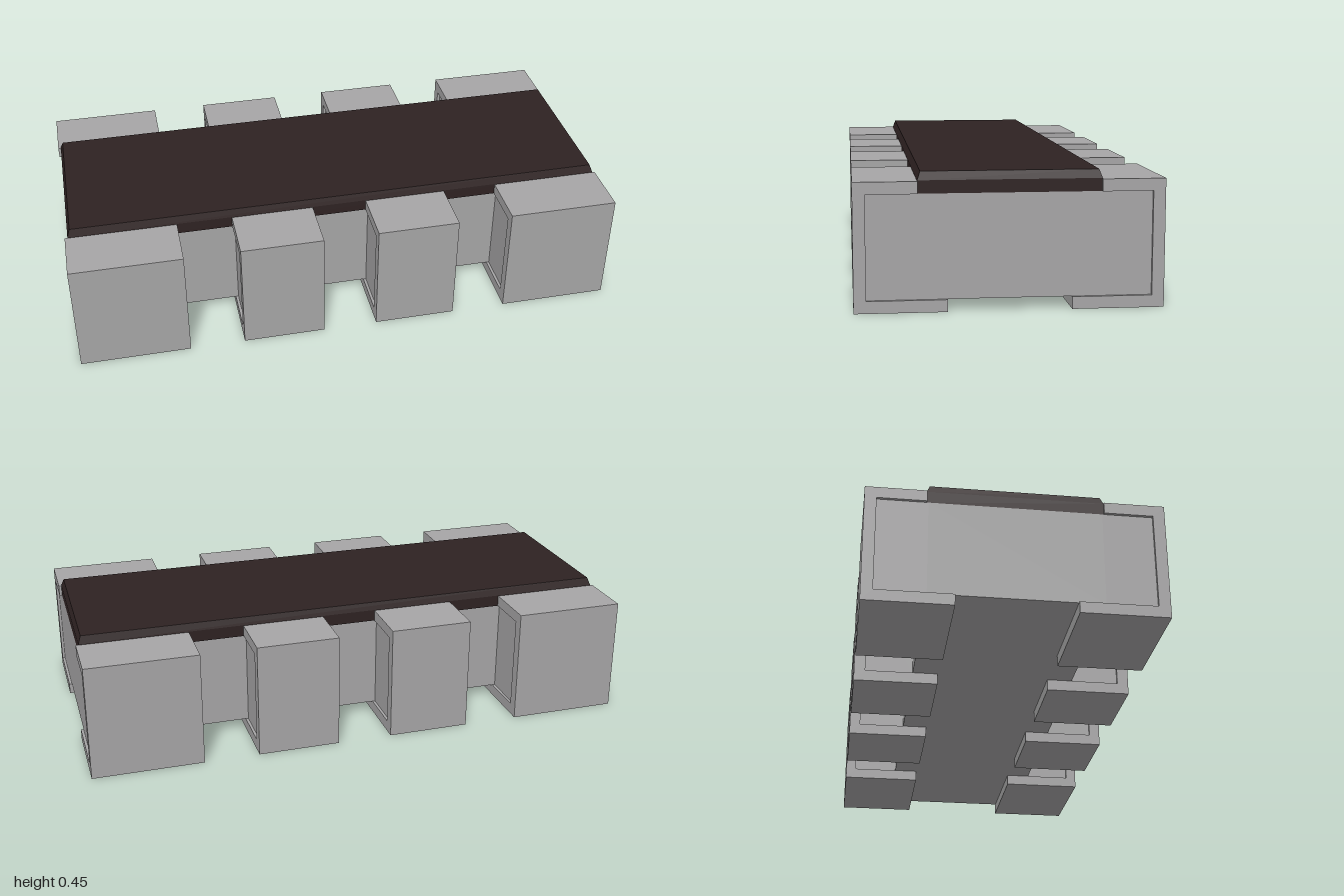
import * as THREE from 'three';

// Terminal spans along x: [centre, width]
const TERMINALS = [[-0.8, 0.4], [-0.25, 0.3], [0.25, 0.3], [0.8, 0.4]];
const INSET = 0.01; // body sits slightly inside the terminal edges

export function createModel() {
  const group = new THREE.Group();
  const grey = new THREE.MeshStandardMaterial({ color: 0xa6a5a6 });
  grey.name = 'grey metal and ceramic';
  const dark = new THREE.MeshStandardMaterial({ color: 0x2e2222 });
  dark.name = 'dark brown coating';

  const add = (name, geometry, material) => {
    const mesh = new THREE.Mesh(geometry, material);
    mesh.name = name;
    group.add(mesh);
    return mesh;
  };

  // Body: toothed plan outline, extruded upwards
  const edge = [];
  for (const [x, w] of TERMINALS) {
    const a = x - w / 2 + INSET, b = x + w / 2 - INSET;
    edge.push([a, -0.29], [a, -0.46], [b, -0.46], [b, -0.29]);
  }
  const outline = [...edge, ...edge.map(([x, z]) => [-x, -z])];
  const plan = new THREE.Shape(outline.map(([x, z]) => new THREE.Vector2(x, z)));
  const body = new THREE.ExtrudeGeometry(plan, { depth: 0.34, bevelEnabled: false });
  body.rotateX(-Math.PI / 2).translate(0, 0.04, 0);
  add('body', body, grey);

  // Terminals: C-shaped clips wrapped over each tooth, profile as (z, y)
  const profile = new THREE.Shape([
    [0.2, 0], [0.5, 0], [0.5, 0.42], [0.295, 0.42],
    [0.295, 0.38], [0.46, 0.38], [0.46, 0.04], [0.2, 0.04],
  ].map(([z, y]) => new THREE.Vector2(z, y)));
  for (const side of [1, -1]) {
    TERMINALS.forEach(([x, w], i) => {
      const clip = new THREE.ExtrudeGeometry(profile, { depth: w, bevelEnabled: false });
      clip.translate(0, 0, -w / 2).rotateY(-Math.PI / 2);
      const mesh = add(`${side > 0 ? 'front' : 'back'}Terminal${i + 1}`, clip, grey);
      mesh.position.x = x;
      // the profile's horizontal axis becomes +z; turn it round for the back
      mesh.rotation.y = side > 0 ? 0 : Math.PI;
    });
  }

  // Coating: slab with a slightly tapered upper rim
  let slab = new THREE.BoxGeometry(1.98, 0.07, 0.592, 1, 2, 1);
  const p = slab.attributes.position;
  for (let i = 0; i < p.count; i++) {
    const y = p.getY(i);
    if (y > 0.01) {
      p.setXYZ(i, Math.sign(p.getX(i)) * 0.98, 0.45, Math.sign(p.getZ(i)) * 0.286);
    } else {
      p.setY(i, y < -0.01 ? 0.38 : 0.422);
    }
  }
  slab = slab.toNonIndexed();
  slab.computeVertexNormals();
  add('topCoating', slab, dark);

  return group;
}
